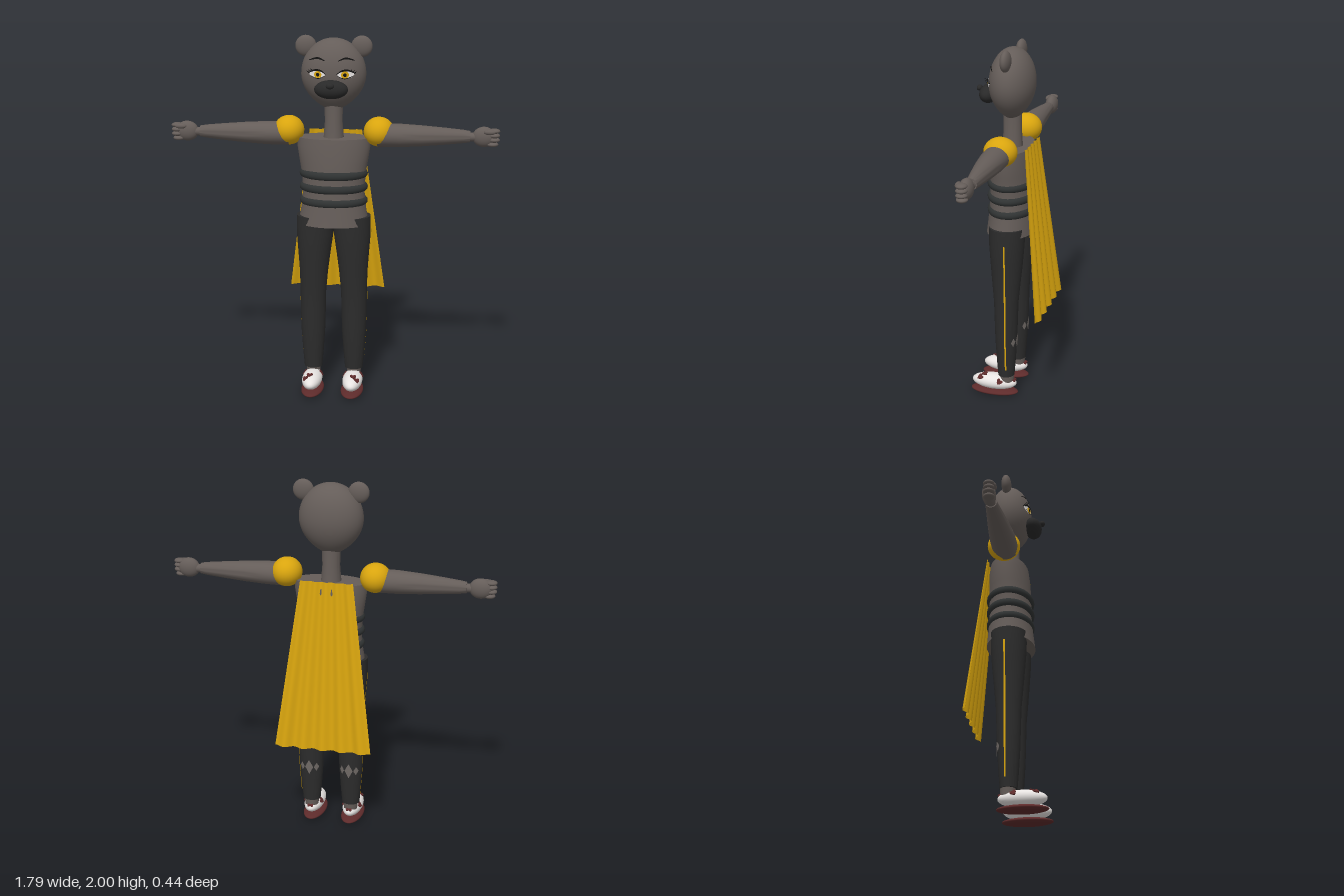
import * as THREE from 'three';
import { toCreasedNormals } from 'three/addons/utils/BufferGeometryUtils.js';

const mat = (name, color, side = THREE.FrontSide) => {
  const m = new THREE.MeshStandardMaterial({ color, side });
  m.name = name;
  return m;
};

export function createModel() {
  const fur = mat('warm grey fur', 0x655d59);
  const trousers = mat('charcoal trousers', 0x2c2c2c);
  const band = mat('slate bands', 0x303333);
  const muzzleMat = mat('dark muzzle', 0x292929);
  const gold = mat('gold', 0xd9a50e, THREE.DoubleSide);
  const white = mat('white', 0xeeeae8, THREE.DoubleSide);
  const maroon = mat('maroon', 0x5e2b2b, THREE.DoubleSide);
  const black = mat('black', 0x121212, THREE.DoubleSide);
  const patch = mat('grey patches', 0x706a66, THREE.DoubleSide);

  const root = new THREE.Group();
  root.name = 'bearFigure';

  const add = (parent, name, geo, material, pos = [0, 0, 0]) => {
    const m = new THREE.Mesh(geo, material);
    m.name = name;
    m.position.set(...pos);
    parent.add(m);
    return m;
  };
  const ball = (parent, name, material, pos, radii, seg = 32) => {
    const g = new THREE.SphereGeometry(1, seg, Math.round(seg * 0.6));
    g.scale(...radii);
    return add(parent, name, g, material, pos);
  };
  // Elliptical tube through stations [y, centreX, centreZ, radiusX, radiusZ], top first
  const loft = (stations) => {
    const n = stations.length - 1;
    const g = new THREE.CylinderGeometry(1, 1, 1, 36, n);
    const p = g.attributes.position;
    for (let i = 0; i < p.count; i++) {
      const [y, cx, cz, rx, rz] = stations[Math.round((0.5 - p.getY(i)) * n)];
      p.setXYZ(i, cx + p.getX(i) * rx, y, cz + p.getZ(i) * rz);
    }
    return toCreasedNormals(g, 0.9);
  };
  const sectionAt = (stations, y) => {
    let i = 0;
    while (i < stations.length - 2 && stations[i + 1][0] > y) i++;
    const a = stations[i], b = stations[i + 1];
    const t = (a[0] - y) / (a[0] - b[0]);
    return a.map((v, k) => v + (b[k] - v) * t);
  };

  // Head: an egg, flattened front to back
  const headR = (y) => y > 1.8
    ? 0.175 * Math.sqrt(Math.max(0, 1 - ((y - 1.8) / 0.19) ** 2))
    : 0.175 * Math.max(0, 1 - ((1.8 - y) / 0.2) ** 2) ** 0.7;
  const faceZ = (x, y) => 0.005 + 0.7 * Math.sqrt(Math.max(0, headR(y) ** 2 - x * x));
  const profile = [];
  for (let i = 0; i <= 32; i++) {
    const y = 1.795 - 0.195 * Math.cos((i / 32) * Math.PI);
    profile.push(new THREE.Vector2(i % 32 ? headR(y) : 0, y));
  }
  const headGeo = new THREE.LatheGeometry(profile, 40);
  headGeo.scale(1, 1, 0.7);
  add(root, 'head', headGeo, fur, [0, 0, 0.005]);
  add(root, 'neck', loft([[1.65, 0, 0.005, 0.05, 0.05], [1.54, 0, 0.005, 0.048, 0.05],
    [1.44, 0, 0.005, 0.056, 0.056]]), fur);
  ball(root, 'muzzle', muzzleMat, [0, 1.732, 0.135], [0.09, 0.05, 0.05]);
  ball(root, 'nose', muzzleMat, [0, 1.758, 0.188], [0.022, 0.016, 0.016], 20);

  // Torso with three bands
  const torso = [[1.455, 0, 0, 0.197, 0.106], [1.41, 0, 0, 0.2, 0.112], [1.32, 0, 0.003, 0.186, 0.116],
    [1.25, 0, 0.004, 0.174, 0.118], [1.15, 0, 0.005, 0.17, 0.117], [1.07, 0, 0.006, 0.178, 0.124],
    [0.975, 0, 0.008, 0.194, 0.133]];
  add(root, 'torso', loft(torso), fur);
  [1.257, 1.182, 1.105].forEach((y) => {
    const g = new THREE.TorusGeometry(0.165, 0.022, 14, 48);
    g.rotateX(Math.PI / 2);
    g.scale(1, 1, 0.113 / 0.165 + 0.02);
    add(root, 'waistBand', g, band, [0, y, 0.005]);
  });

  // Pleated cape, widening downwards
  const capeGeo = new THREE.PlaneGeometry(1, 1, 66, 10);
  const cp = capeGeo.attributes.position;
  for (let i = 0; i < cp.count; i++) {
    const u = cp.getX(i) * 2, t = 0.5 - cp.getY(i);
    const fold = (0.005 + 0.007 * t) * Math.cos(u * Math.PI * 5);
    cp.setXYZ(i, u * (0.145 + 0.125 * t), 1.475 - 0.935 * t, -0.108 - 0.102 * t - fold);
  }
  capeGeo.computeVertexNormals();
  add(root, 'cape', capeGeo, gold);

  const leg = [[1.02, 0.1, 0.008, 0.104, 0.098], [0.92, 0.103, 0.008, 0.102, 0.097],
    [0.8, 0.107, 0.008, 0.089, 0.088], [0.7, 0.11, 0.009, 0.079, 0.079], [0.58, 0.114, 0.009, 0.072, 0.068],
    [0.45, 0.115, 0.009, 0.07, 0.064], [0.35, 0.115, 0.009, 0.067, 0.061], [0.22, 0.115, 0.009, 0.058, 0.053],
    [0.13, 0.115, 0.009, 0.05, 0.046]];
  const arm = [[0.735, 0, 0, 0.03, 0.03], [0.7, 0, 0, 0.036, 0.034], [0.6, 0, 0.003, 0.046, 0.046],
    [0.48, 0, 0.006, 0.056, 0.06], [0.36, 0, 0.008, 0.063, 0.07], [0.24, 0, 0.008, 0.064, 0.071]];
  const heart = new THREE.Shape();
  heart.moveTo(0, -0.018);
  heart.bezierCurveTo(-0.03, 0.004, -0.014, 0.026, 0, 0.009);
  heart.bezierCurveTo(0.014, 0.026, 0.03, 0.004, 0, -0.018);

  for (const s of [1, -1]) {
    const half = new THREE.Group();
    half.name = s > 0 ? 'leftHalf' : 'rightHalf';
    half.scale.x = s;
    root.add(half);

    ball(half, 'ear', fur, [0.15, 1.945, 0], [0.057, 0.057, 0.028]);

    // Eye and brow plates that follow the face
    const facePlate = (name, geo, material, lift, x = 0, y = 0) => {
      geo.translate(x, y, 0);
      const p = geo.attributes.position;
      for (let i = 0; i < p.count; i++) p.setZ(i, faceZ(p.getX(i), p.getY(i)) + lift);
      geo.computeVertexNormals();
      add(half, name, geo, material);
    };
    const disc = (rx, ry) => new THREE.CircleGeometry(1, 28).scale(rx, ry, 1);
    const stroke = (points, w) => {
      const c = new THREE.SplineCurve(points.map(([x, y]) => new THREE.Vector2(x, y))).getPoints(14);
      const edge = (k) => c.map((v, i) => new THREE.Vector2(v.x, v.y + k * w * Math.sin(Math.PI * (0.1 + 0.8 * i / 14))));
      return new THREE.ShapeGeometry(new THREE.Shape([...edge(-1), ...edge(1).reverse()]));
    };
    facePlate('eyeWhite', disc(0.043, 0.02), white, 0.003, 0.076, 1.81);
    facePlate('iris', disc(0.02, 0.019), gold, 0.0055, 0.072, 1.808);
    facePlate('pupil', disc(0.009, 0.01), black, 0.0075, 0.072, 1.808);
    facePlate('upperLid', stroke([[0.03, 1.812], [0.055, 1.829], [0.09, 1.831], [0.124, 1.816]], 0.005), black, 0.008);
    facePlate('lowerLid', stroke([[0.034, 1.803], [0.072, 1.788], [0.116, 1.803]], 0.002), black, 0.007);
    facePlate('eyebrow', stroke([[0.035, 1.88], [0.075, 1.893], [0.122, 1.88]], 0.0045), black, 0.004);
    for (let i = 0; i < 3; i++) {
      const x = 0.1 + i * 0.011, y = 1.828 - i * 0.006;
      const lash = add(half, 'eyelash', new THREE.ConeGeometry(0.003, 0.032, 6), black,
        [x + 0.006, y + 0.006, faceZ(x, y) + 0.014]);
      lash.quaternion.setFromUnitVectors(new THREE.Vector3(0, 1, 0), new THREE.Vector3(0.5, 0.5, 0.7).normalize());
    }

    // Arm, shoulder and fist
    ball(half, 'shoulderPad', gold, [0.245, 1.487, 0], [0.083, 0.08, 0.09]);
    const armGeo = loft(arm);
    armGeo.rotateZ(-Math.PI / 2);
    add(half, 'arm', armGeo, fur, [0, 1.47, 0]);
    const wrist = new THREE.CylinderGeometry(0.022, 0.024, 0.07, 20);
    wrist.rotateZ(-Math.PI / 2);
    add(half, 'wrist', wrist, fur, [0.75, 1.468, 0]);
    ball(half, 'palm', fur, [0.808, 1.47, 0], [0.062, 0.055, 0.036]);
    for (let i = 0; i < 4; i++) {
      ball(half, 'finger', fur, [0.862 - (i === 0 ? 0.008 : 0), 1.431 + i * 0.024, 0.006], [0.032, 0.014, 0.03], 18);
    }
    ball(half, 'thumb', fur, [0.838, 1.5, 0.03], [0.032, 0.014, 0.014], 18);

    // Leg, side stripe and diamond patches on the calf
    add(half, 'trouserLeg', loft(leg), trousers);
    const stripe = new THREE.PlaneGeometry(0.009, 0.76, 1, 40);
    const sp = stripe.attributes.position;
    for (let i = 0; i < sp.count; i++) {
      const y = sp.getY(i) + 0.56, [, cx, cz, rx] = sectionAt(leg, y);
      sp.setXYZ(i, cx + rx + 0.002, y, cz - 0.012 - sp.getX(i));
    }
    stripe.computeVertexNormals();
    add(half, 'sideStripe', stripe, gold);
    for (const [angle, w, h] of [[0, 0.34, 0.045], [0.62, 0.24, 0.026], [-0.62, 0.24, 0.026]]) {
      const d = new THREE.CircleGeometry(1, 4);
      const p = d.attributes.position;
      for (let i = 0; i < p.count; i++) {
        const a = angle + p.getX(i) * w, y = 0.35 + p.getY(i) * h;
        const [, cx, cz, rx, rz] = sectionAt(leg, y);
        p.setXYZ(i, cx - Math.sin(a) * (rx + 0.004), y, cz - Math.cos(a) * (rz + 0.004));
      }
      d.computeVertexNormals();
      add(half, 'calfDiamond', d, patch);
    }

    // Ankle and shoe with hearts
    add(half, 'ankle', new THREE.CylinderGeometry(0.042, 0.038, 0.06, 24), fur, [0.115, 0.115, 0.005]);
    const c = [0.114, 0.076, 0.08], r = [0.056, 0.045, 0.13];
    ball(half, 'shoe', white, c, r);
    ball(half, 'sole', maroon, [0.112, 0.02, 0.08], [0.063, 0.02, 0.138]);
    for (const dir of [[0.85, 0.42, -0.32], [-0.85, 0.42, -0.32], [0.15, 0.88, 0.42], [0.55, 0.6, 0.58], [0, 0.5, -0.87]]) {
      const n = new THREE.Vector3(...dir).normalize();
      const m = add(half, 'shoeHeart',
        new THREE.ExtrudeGeometry(heart, { depth: 0.007, bevelEnabled: false, curveSegments: 8 }), maroon,
        n.toArray().map((v, k) => c[k] + v * r[k]));
      const normal = new THREE.Vector3(n.x / r[0], n.y / r[1], n.z / r[2]).normalize();
      m.quaternion.setFromUnitVectors(new THREE.Vector3(0, 0, 1), normal);
      m.position.addScaledVector(normal, -0.003);
    }
  }
  return root;
}
